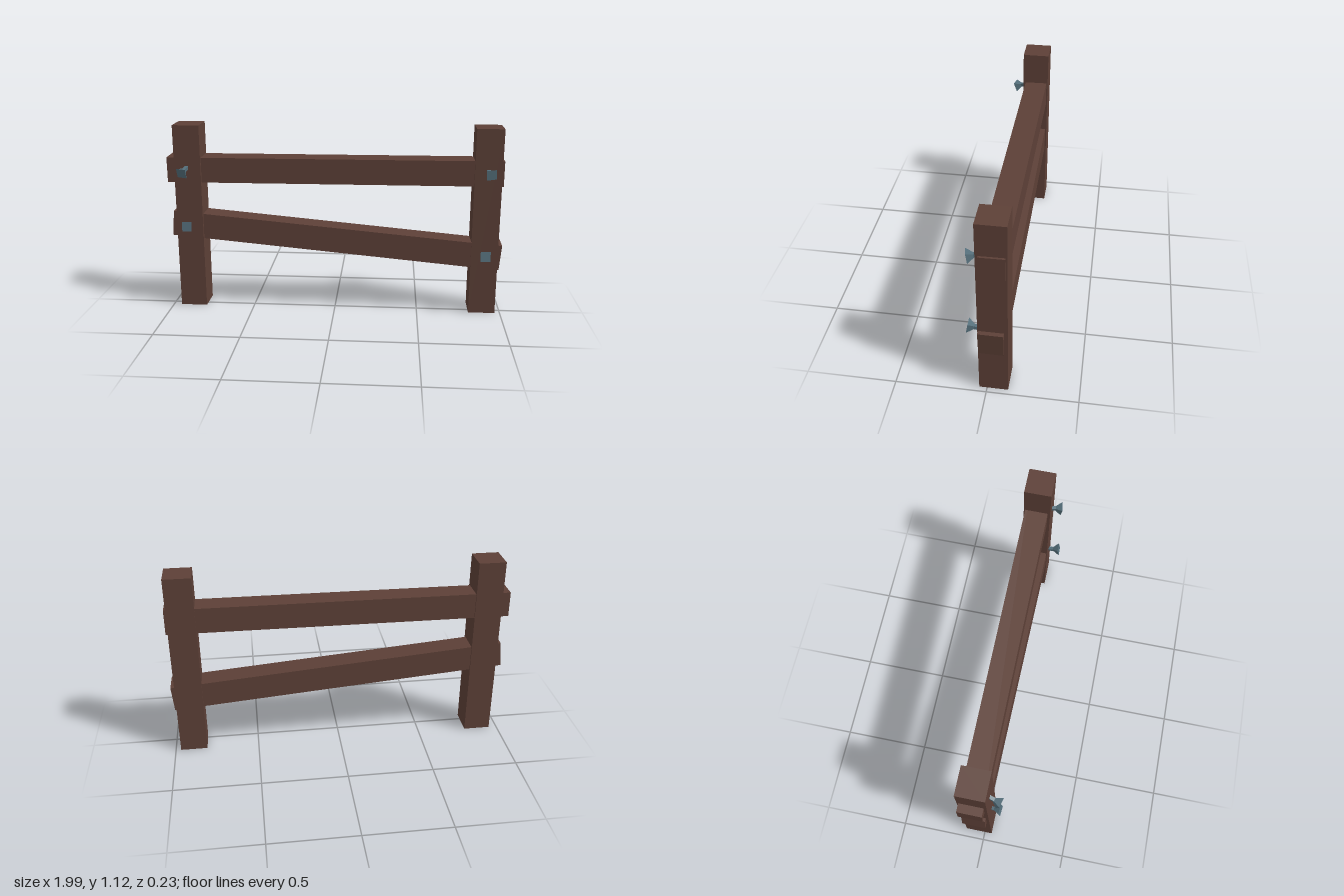
import * as THREE from 'three';

const wood = new THREE.MeshStandardMaterial({ color: 0x5d4037, flatShading: true });
const steel = new THREE.MeshStandardMaterial({ color: 0x546e7a, flatShading: true });

// Squared timber beam
function beam(name, size, position, rotation = [0, 0, 0]) {
  const mesh = new THREE.Mesh(new THREE.BoxGeometry(...size), wood);
  mesh.name = name;
  mesh.position.set(...position);
  mesh.rotation.set(...rotation);
  return mesh;
}

// Four-sided nail with a flared head, centred on the head face and pointing along +z
function nail(name, position, rotation) {
  const group = new THREE.Group();
  group.name = name;
  // [name, front half width, back half width, length, front z]
  const parts = [
    ['nailHead', 0.029, 0.01, 0.036, 0],
    ['nailShaft', 0.01, 0.01, 0.06, -0.03],
  ];
  for (const [label, front, back, length, z] of parts) {
    const geometry = new THREE.CylinderGeometry(front * Math.SQRT2, back * Math.SQRT2, length, 4);
    geometry.rotateY(Math.PI / 4).rotateX(Math.PI / 2).translate(0, 0, z - length / 2);
    const mesh = new THREE.Mesh(geometry, steel);
    mesh.name = label;
    group.add(mesh);
  }
  group.position.set(...position);
  group.rotation.set(...rotation);
  return group;
}

export function createModel() {
  const fence = new THREE.Group();
  fence.name = 'fence';

  // Upright posts
  fence.add(beam('rightPost', [0.158, 1.12, 0.158], [-0.873, 0.56, -0.036]));
  fence.add(beam('leftPost', [0.158, 1.12, 0.158], [0.89, 0.56, -0.036]));

  // Rails, the lower one sloping
  fence.add(beam('upperRail', [1.98, 0.15, 0.135], [-0.009, 0.854, -0.04], [0.012, 0, 0.003]));
  fence.add(beam('lowerRail', [1.972, 0.152, 0.135], [0.003, 0.436, -0.034], [0, -0.007, -0.087]));

  // Nails, each slightly askew
  fence.add(nail('upperRightNail', [-0.895, 0.845, 0.1], [0.36, -0.25, 0.03]));
  fence.add(nail('upperLeftNail', [0.901, 0.865, 0.098], [0.14, 0.2, 0.06]));
  fence.add(nail('lowerRightNail', [-0.881, 0.52, 0.094], [-0.17, -0.08, 0.03]));
  fence.add(nail('lowerLeftNail', [0.89, 0.38, 0.11], [-0.17, 0.02, 0.02]));

  return fence;
}
